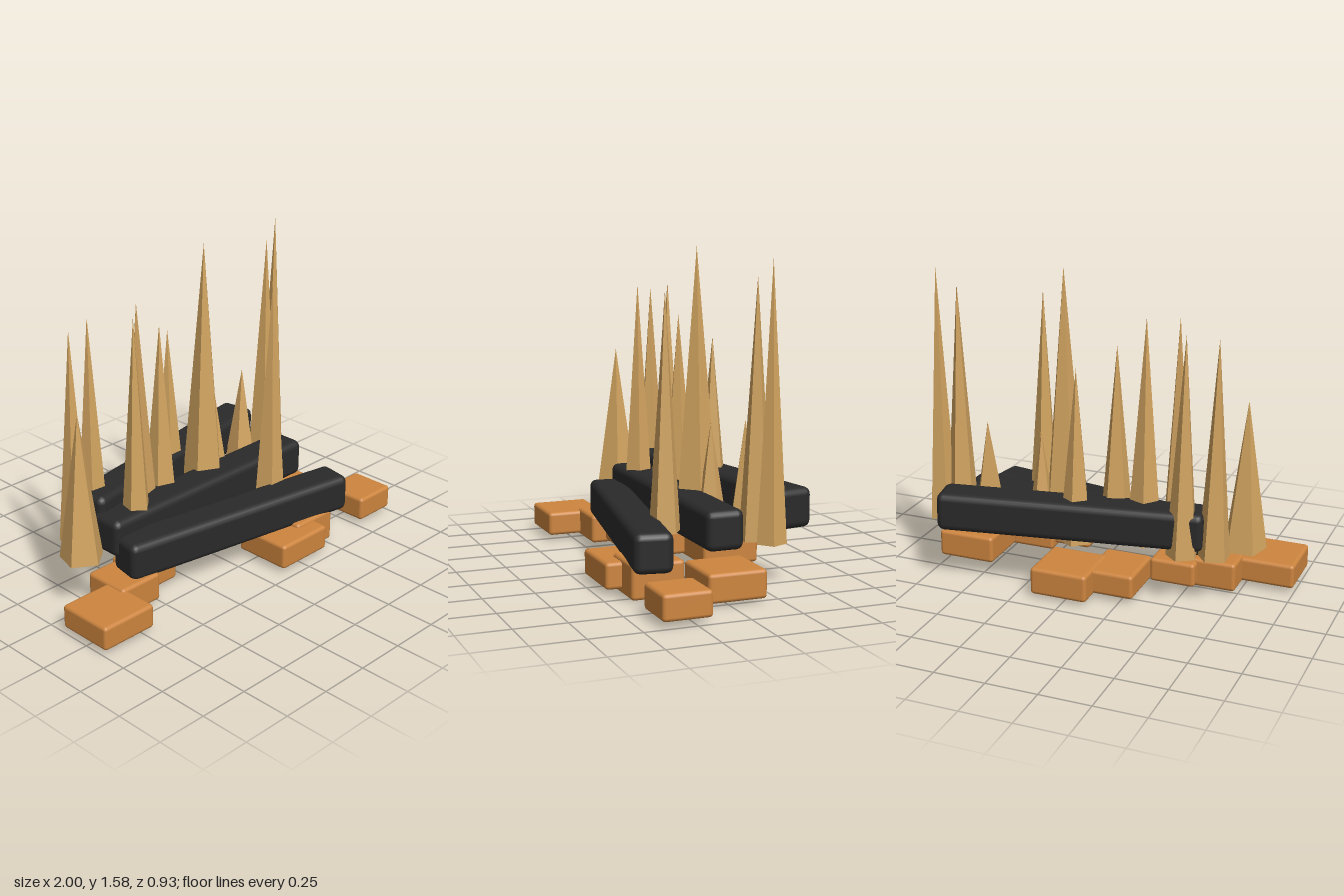
import * as THREE from 'three';
import { RoundedBoxGeometry } from 'three/addons/geometries/RoundedBoxGeometry.js';

const material = (name, color) => {
  const m = new THREE.MeshStandardMaterial({ color });
  m.name = name;
  return m;
};

export function createModel() {
  const model = new THREE.Group();
  model.name = 'campfire';
  const clay = material('orange clay', 0xcd853f);
  const char = material('charred wood', 0x2a2a2a);
  const tan = material('tan flame', 0xd2a460);

  const add = (parent, name, geometry, mat, x, y, z, turn = 0) => {
    const mesh = new THREE.Mesh(geometry, mat);
    mesh.name = name;
    mesh.position.set(x, y, z);
    mesh.rotation.y = turn;
    parent.add(mesh);
  };
  const section = (name) => {
    const g = new THREE.Group();
    g.name = name;
    model.add(g);
    return g;
  };

  // Hearth stones: x min, x max, y min, y max, z min, z max
  const stones = section('hearthStones');
  [
    [-1.0, -0.7, 0.027, 0.148, 0.09, 0.385],
    [-0.74, -0.5, 0.016, 0.16, -0.03, 0.215],
    [-0.55, -0.32, 0.027, 0.148, -0.08, 0.14],
    [-0.32, -0.08, 0.027, 0.148, -0.32, -0.04],
    [-0.12, 0.17, 0.018, 0.155, -0.42, -0.13],
    [0.1, 0.42, 0.025, 0.153, 0.16, 0.463],
    [0.29, 0.55, 0, 0.17, 0.125, 0.385],
    [0.49, 0.785, 0.018, 0.155, -0.18, 0.108],
    [0.76, 0.995, 0.027, 0.15, 0.175, 0.41],
  ].forEach(([x0, x1, y0, y1, z0, z1]) => {
    const geo = new RoundedBoxGeometry(x1 - x0, y1 - y0, z1 - z0, 2, 0.018);
    add(stones, 'stone', geo, clay, (x0 + x1) / 2, (y0 + y1) / 2, (z0 + z1) / 2);
  });

  // Charred logs, fanned out and stepped upward to the back: y, z, turn
  const logs = section('logs');
  const logShape = new RoundedBoxGeometry(1.305, 0.19, 0.185, 2, 0.035);
  [
    [0.237, 0.205, -0.175],
    [0.315, -0.027, 0],
    [0.387, -0.268, 0.175],
  ].forEach(([y, z, turn]) => add(logs, 'log', logShape, char, 0.017, y, z, turn));

  // Five-sided flames on one base level: x, z, tip height, radius, turn
  const flames = section('flames');
  const base = 0.26;
  [
    [-0.78, -0.02, 1.0, 0.108, 0.05],
    [-0.68, -0.18, 1.33, 0.08, 0.35],
    [-0.535, -0.22, 1.345, 0.08, 0.55],
    [-0.435, -0.015, 1.365, 0.077, 0.1],
    [-0.31, -0.13, 1.38, 0.09, 0.9],
    [-0.165, -0.13, 1.23, 0.09, 0.3],
    [-0.003, -0.245, 1.13, 0.085, 0.7],
    [0.115, -0.11, 1.575, 0.112, 0.15],
    [0.225, -0.14, 0.745, 0.078, 0.45],
    [0.335, 0.14, 1.385, 0.078, 0.65],
    [0.485, -0.2, 0.79, 0.087, 0.2],
    [0.64, -0.185, 1.46, 0.083, 0.5],
    [0.735, -0.215, 1.545, 0.073, 0.08],
  ].forEach(([x, z, tip, r, turn]) => {
    const geo = new THREE.ConeGeometry(r, tip - base, 5).toNonIndexed();
    geo.computeVertexNormals();
    add(flames, 'flame', geo, tan, x, (tip + base) / 2, z, turn);
  });

  return model;
}
